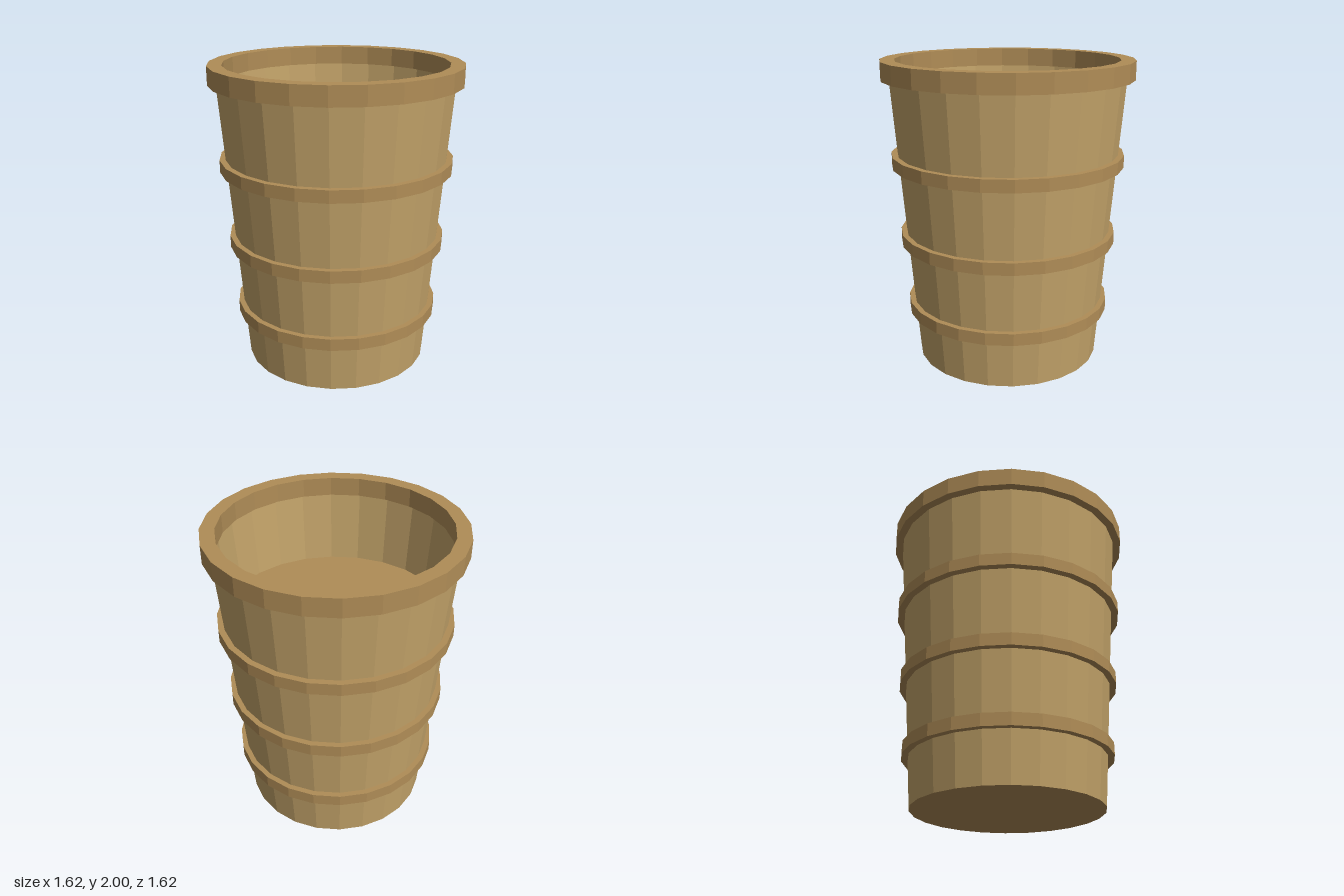
import * as THREE from 'three';

const SIDES = 24;

export function createModel() {
  const group = new THREE.Group();
  const wood = new THREE.MeshStandardMaterial({ color: 0xc4a46a, flatShading: true, side: THREE.DoubleSide });
  const band = new THREE.MeshStandardMaterial({ color: 0xb08d57, flatShading: true, side: THREE.DoubleSide });

  const add = (name, geometry, material, y = 0) => {
    const mesh = new THREE.Mesh(geometry, material);
    mesh.name = name;
    mesh.position.y = y;
    group.add(mesh);
  };

  // Thin tapered wall, open at the top
  add('wall', new THREE.CylinderGeometry(0.765, 0.613, 1.94, SIDES, 1, true), wood, 0.97);

  // Closed base
  const base = new THREE.CircleGeometry(0.613, SIDES);
  base.rotateX(Math.PI / 2);
  add('base', base, band);

  // Solid hoops; the top face of the highest one forms the inner floor
  const hoops = [['lowerHoop', 0.68, 0.36], ['middleHoop', 0.718, 0.84], ['upperHoop', 0.762, 1.36]];
  for (const [name, radius, y] of hoops) {
    add(name, new THREE.CylinderGeometry(radius, radius, 0.08, SIDES), band, y);
  }

  // Square-section rim around the mouth
  const rim = [[0.72, 1.88], [0.812, 1.88], [0.812, 2], [0.72, 2], [0.72, 1.88]]
    .map(([r, y]) => new THREE.Vector2(r, y));
  add('rim', new THREE.LatheGeometry(rim, SIDES), band);

  return group;
}
